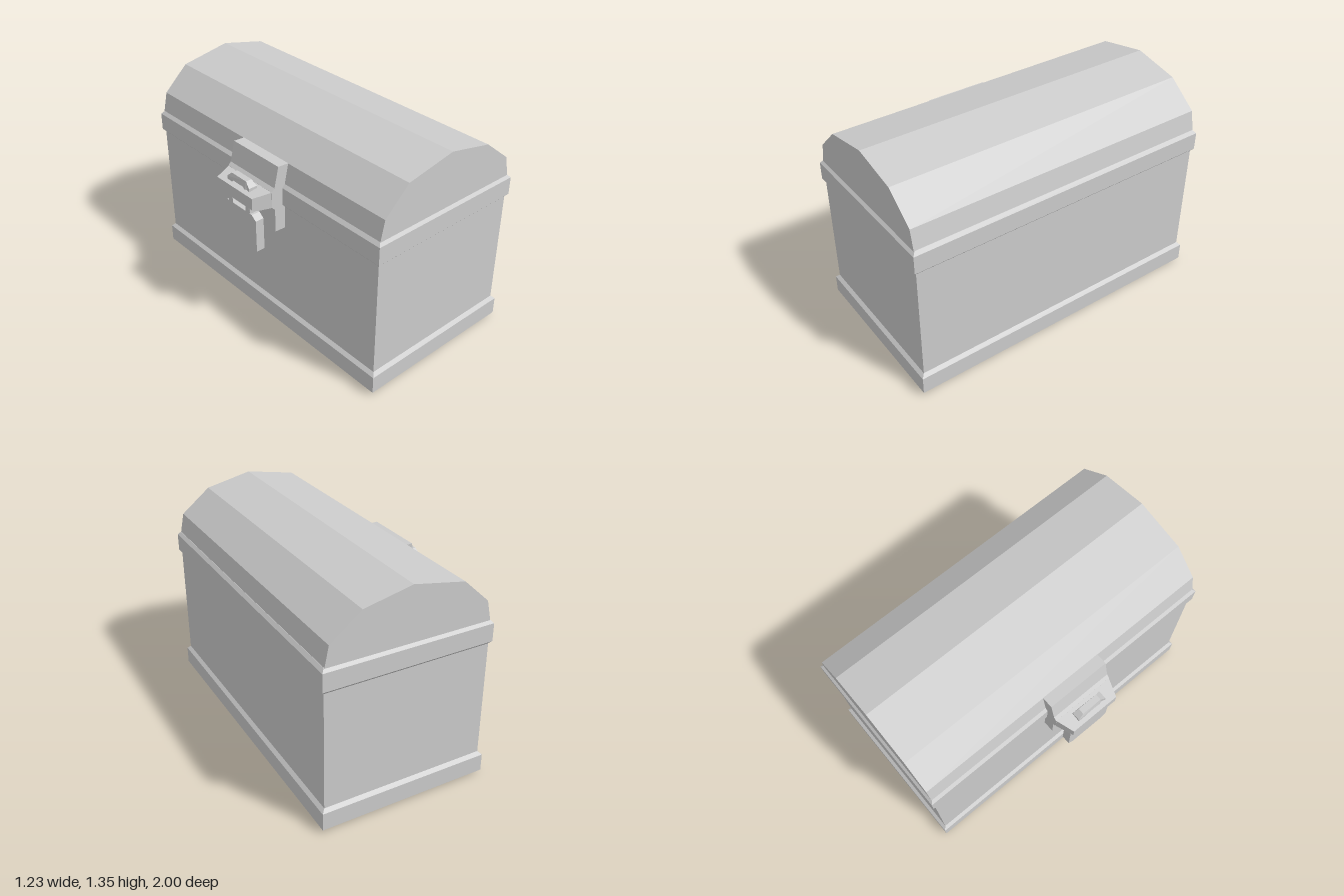
import * as THREE from 'three';

const MID_X = 0.0875;   // chest centre line
const LOCK_Z = 0.035;   // lock centre line
const LOCK_X = -0.5625; // padlock plane

const material = new THREE.MeshStandardMaterial({ color: 0xcccccc, flatShading: true });

function part(name, geometry) {
  const mesh = new THREE.Mesh(geometry, material);
  mesh.name = name;
  return mesh;
}

// Chamfered block: rows of [y, inset] from top to bottom
function band(halfX, halfZ, rows) {
  const g = new THREE.BoxGeometry(1, 1, 1, 1, rows.length - 1, 1);
  const p = g.attributes.position;
  for (let i = 0; i < p.count; i++) {
    const [y, inset] = rows[Math.round((0.5 - p.getY(i)) * (rows.length - 1))];
    p.setXYZ(i, MID_X + Math.sign(p.getX(i)) * (halfX - inset), y, Math.sign(p.getZ(i)) * (halfZ - inset));
  }
  g.computeVertexNormals();
  return g;
}

// Prism centred on z = 0 from an outline and optional hole
function prism(points, depth, hole) {
  const toVectors = (list) => list.map(([x, y]) => new THREE.Vector2(x, y));
  const shape = new THREE.Shape(toVectors(points));
  if (hole) shape.holes.push(new THREE.Path(toVectors(hole)));
  return new THREE.ExtrudeGeometry(shape, { depth, bevelEnabled: false }).translate(0, 0, -depth / 2);
}

// Mirror a half outline (top to bottom) across u = 0
const mirrored = (half) => [...half, ...half.map(([u, y]) => [-u, y]).reverse()];

export function createModel() {
  const chest = new THREE.Group();
  chest.name = 'chest';

  // Box and trim
  chest.add(part('body', band(0.5075, 0.98, [[0.95, 0], [0.1, 0]])));
  chest.add(part('baseTrim', band(0.5275, 1, [[0.15, 0.02], [0.13, 0], [0.02, 0], [0, 0.02]])));
  chest.add(part('rimTrim', band(0.5225, 0.995, [[1.02, 0.018], [1.0, 0], [0.89, 0], [0.87, 0.018]])));

  // Faceted barrel lid
  chest.add(part('lid', prism([
    [-0.42, 0.98], [0.595, 0.98], [0.59, 1.02], [0.565, 1.14], [0.38, 1.287],
    [0.0875, 1.35], [-0.23, 1.29], [-0.39, 1.14], [-0.417, 1.02],
  ], 1.96)));

  // Lock plate with a tapering tab
  const lock = new THREE.Group();
  lock.name = 'lock';
  lock.position.z = LOCK_Z;
  lock.add(part('lockPlate', prism([
    [-0.37, 1.14], [-0.46, 1.145], [-0.49, 1.02], [-0.51, 1.0], [-0.51, 0.9],
    [-0.49, 0.88], [-0.49, 0.735], [-0.4, 0.732],
  ], 0.4)));

  const tab = prism([[-0.505, 1.0], [-0.618, 0.985], [-0.618, 0.91], [-0.59, 0.9], [-0.505, 0.9]], 0.4);
  const tp = tab.attributes.position;
  for (let i = 0; i < tp.count; i++) {
    const t = (-0.505 - tp.getX(i)) / 0.113;
    tp.setZ(i, Math.sign(tp.getZ(i)) * (0.2 - 0.04 * t));
  }
  tab.computeVertexNormals();
  lock.add(part('lockTab', tab));

  // Padlock body and shackle, facing -x
  const padlock = new THREE.Group();
  padlock.name = 'padlock';
  padlock.position.x = LOCK_X;
  padlock.rotation.y = -Math.PI / 2;
  padlock.add(part('padlockBody', prism(mirrored([
    [0.115, 0.847], [0.15, 0.82], [0.15, 0.615], [0.115, 0.585],
  ]), 0.055)));

  const shackle = prism(
    mirrored([[0.065, 1.04], [0.1, 1.01], [0.1, 0.83]]), 0.055,
    mirrored([[0.045, 1.0], [0.06, 0.985], [0.06, 0.84]]));
  const sp = shackle.attributes.position;
  for (let i = 0; i < sp.count; i++) {
    if (sp.getY(i) > 1.03) sp.setZ(i, sp.getZ(i) * 0.7);
  }
  shackle.computeVertexNormals();
  padlock.add(part('shackle', shackle));

  lock.add(padlock);
  chest.add(lock);
  return chest;
}
